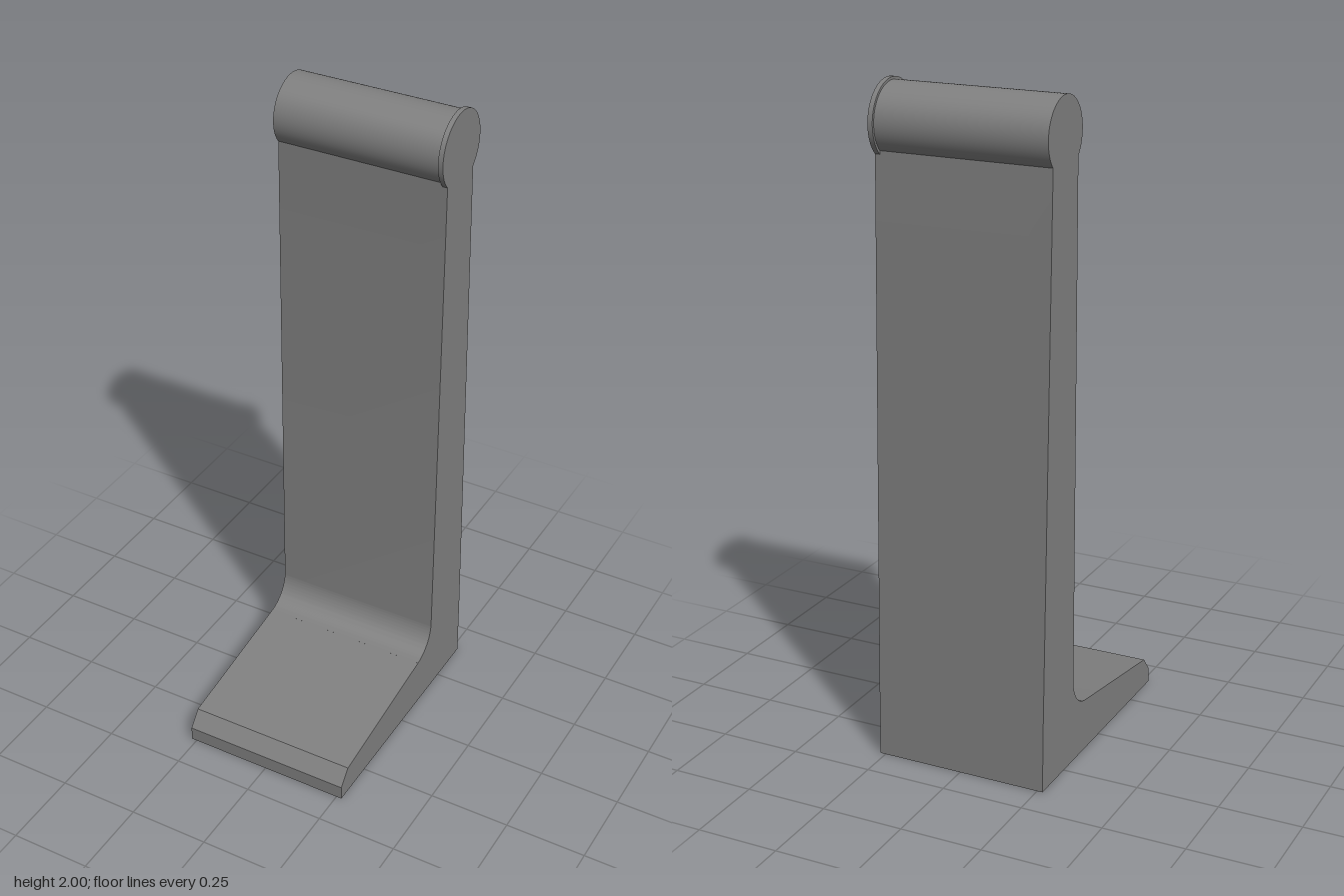
import * as THREE from 'three';
import { toCreasedNormals } from 'three/addons/utils/BufferGeometryUtils.js';

const HALF = 0.267;      // half the width along x
const ROD_Y = 1.885;
const ROD_Z = -0.268;

export function createModel() {
  const group = new THREE.Group();
  const grey = new THREE.MeshStandardMaterial({ color: 0x808080 });
  grey.name = 'grey';

  const add = (name, geometry) => {
    const mesh = new THREE.Mesh(geometry, grey);
    mesh.name = name;
    group.add(mesh);
  };

  // Tapered upright and sloping foot, one side profile (z, y) swept along x
  const profile = new THREE.Shape();
  profile.moveTo(-0.395, 0);
  profile.lineTo(0.395, 0);
  profile.lineTo(0.395, 0.045);
  profile.lineTo(0.355, 0.093);
  profile.lineTo(-0.102, 0.161);
  profile.absarc(-0.087, 0.26, 0.1, Math.PI * 1.5 - 0.15, Math.PI, true); // inner fillet
  profile.lineTo(-0.187, 1.83);
  profile.lineTo(-0.345, 1.83);
  profile.lineTo(-0.392, 0.2);
  profile.closePath();
  const body = new THREE.ExtrudeGeometry(profile, { depth: HALF * 2, bevelEnabled: false, curveSegments: 16 });
  body.rotateY(-Math.PI / 2);
  body.translate(HALF, 0, 0);
  add('uprightAndFoot', toCreasedNormals(body, 0.4));

  // Round bead along the top, with a slightly larger end disc on the left
  const rod = (name, radius, x0, x1) => {
    const geometry = new THREE.CylinderGeometry(radius, radius, x1 - x0, 64);
    geometry.rotateZ(Math.PI / 2);
    geometry.translate((x0 + x1) / 2, ROD_Y, ROD_Z);
    add(name, geometry);
  };
  rod('topRod', 0.1075, -HALF, 0.253);
  rod('endDisc', 0.115, 0.252, HALF);

  return group;
}
